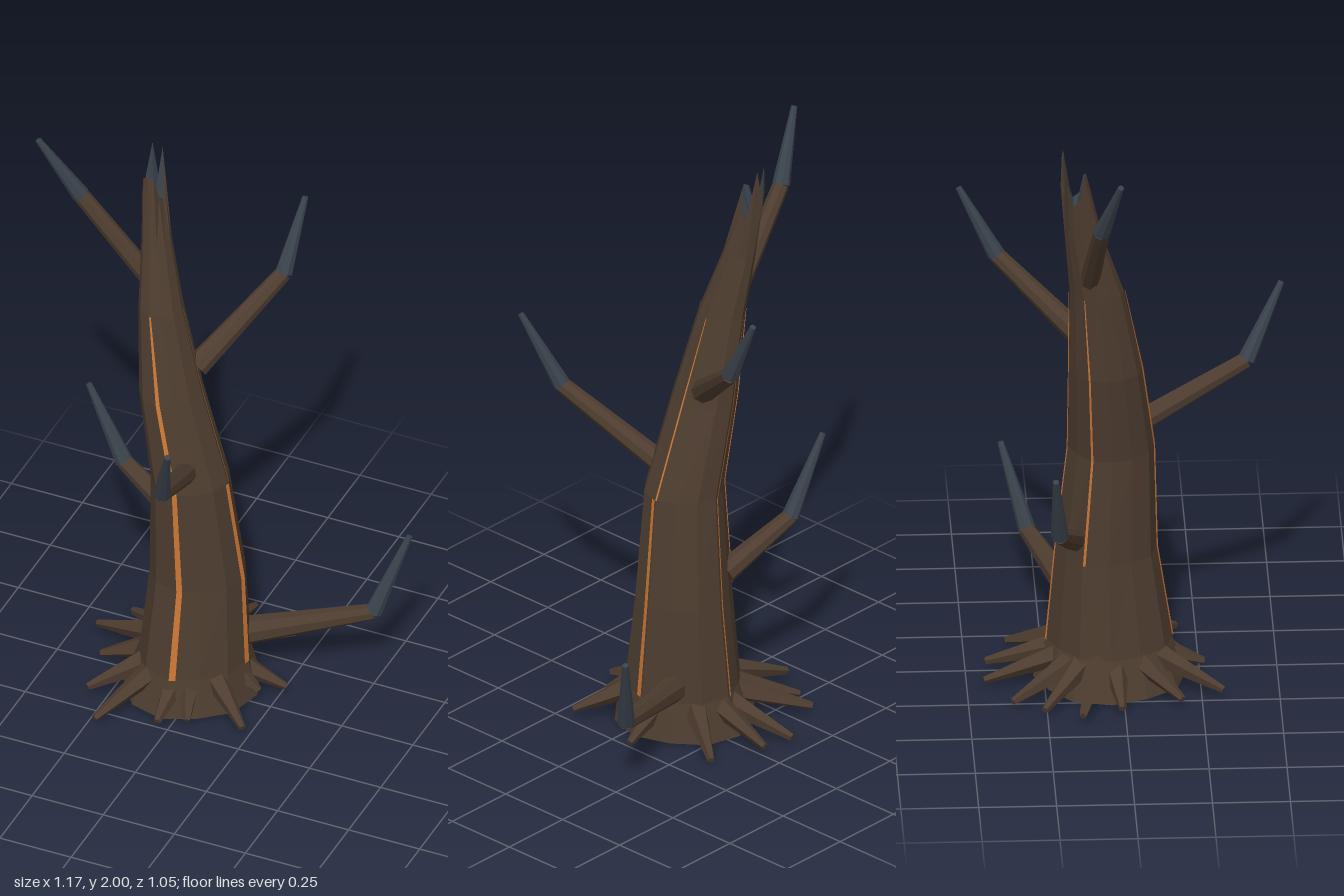
import * as THREE from 'three';

const SIDES = 12;
// trunk rings: y, centre x, centre z, half width x, half width z
const RINGS = [
  [0, -0.045, -0.04, 0.23, 0.245],
  [0.13, -0.035, -0.04, 0.188, 0.203],
  [0.45, -0.03, -0.05, 0.163, 0.163],
  [0.82, -0.05, -0.035, 0.133, 0.138],
  [1.13, -0.125, -0.055, 0.108, 0.117],
  [1.43, -0.175, -0.085, 0.073, 0.087],
  [1.65, -0.21, -0.13, 0.049, 0.06],
  [1.85, -0.237, -0.163, 0.036, 0.041],
];
// uneven bark ridges and the broken rim heights, one value per side
const RIDGE = [1, 0.93, 0.99, 1, 0.95, 1, 1, 0.93, 1, 0.99, 0.94, 1];
const RIM = [1.88, 1.87, 1.8, 1.78, 1.84, 1.96, 1.84, 1.97, 1.86, 1.78, 1.8, 1.87];

function trunkPoint(k, i, grow = 0) {
  const [y, cx, cz, rx, rz] = RINGS[k];
  const s = ((i % SIDES) + SIDES) % SIDES;
  const a = (s / SIDES) * Math.PI * 2;
  return new THREE.Vector3(
    cx + Math.sin(a) * (rx * RIDGE[s] + grow),
    k === RINGS.length - 1 ? RIM[s] : y,
    cz + Math.cos(a) * (rz * RIDGE[s] + grow));
}

function fromTriangles(points) {
  const g = new THREE.BufferGeometry().setFromPoints(points);
  g.computeVertexNormals();
  return g;
}

const quad = (a, b, c, d) => [a, b, c, a, c, d];

export function createModel() {
  const model = new THREE.Group();
  const paint = (name, color) => {
    const m = new THREE.MeshStandardMaterial({ color, flatShading: true });
    m.name = name;
    return m;
  };
  const bark = paint('bark brown', 0x4d3c2f);
  const slate = paint('charred slate', 0x39424b);
  const ember = paint('ember orange', 0xc87533);
  ember.side = THREE.DoubleSide;

  const add = (name, geometry, material, parent = model) => {
    const mesh = new THREE.Mesh(geometry, material);
    mesh.name = name;
    parent.add(mesh);
    return mesh;
  };

  // tapered limb between two points
  const limb = (name, from, to, r0, r1, sides, material, parent) => {
    const a = new THREE.Vector3(...from), b = new THREE.Vector3(...to);
    const dir = b.clone().sub(a);
    const mesh = add(name, new THREE.CylinderGeometry(r1, r0, dir.length(), sides), material, parent);
    mesh.position.copy(a).add(b).multiplyScalar(0.5);
    mesh.quaternion.setFromUnitVectors(new THREE.Vector3(0, 1, 0), dir.normalize());
  };

  // leaning trunk with a closed base, and the hollow inside its broken top
  const shell = [], hollow = [];
  const top = RINGS.length - 1;
  const baseCentre = new THREE.Vector3(-0.045, 0, -0.04);
  const hollowFloor = new THREE.Vector3(-0.235, 1.74, -0.16);
  for (let i = 0; i < SIDES; i++) {
    for (let k = 0; k < top; k++) {
      shell.push(...quad(trunkPoint(k, i), trunkPoint(k, i + 1), trunkPoint(k + 1, i + 1), trunkPoint(k + 1, i)));
    }
    shell.push(baseCentre, trunkPoint(0, i + 1), trunkPoint(0, i));
    hollow.push(trunkPoint(top, i), trunkPoint(top, i + 1), hollowFloor);
  }
  add('trunk', fromTriangles(shell), bark);
  add('brokenTopHollow', fromTriangles(hollow), slate);

  // glowing cracks lying on one trunk side: side, first ring, last ring, start and end across the side
  const cracks = [
    [0, 1, 5, 0.02, 0.24],
    [2, 1, 3, 0.78, 0.98],
    [3, 3, 5, 0.02, 0.1],
    [6, 1, 5, 0.05, 0.16],
    [8, 2, 5, 0.05, 0.15],
  ];
  for (const [side, first, last, t0, t1] of cracks) {
    const pts = [];
    const at = (k, t) => trunkPoint(k, side, 0.005).lerp(trunkPoint(k, side + 1, 0.005), t);
    const end = (k) => (k === 5 ? t0 + (t1 - t0) * 0.6 : t1);
    for (let k = first; k < last; k++) {
      pts.push(...quad(at(k, t0), at(k, end(k)), at(k + 1, end(k + 1)), at(k + 1, t0)));
    }
    add('glowingCrack', fromTriangles(pts), ember);
  }

  // bent branches: base, elbow, tip, base radius
  const branches = [
    [[0.06, 0.165, -0.11], [0.485, 0.262, -0.28], [0.575, 0.535, -0.362], 0.05],
    [[-0.03, 0.875, 0.03], [0.052, 1.065, 0.405], [0.122, 1.308, 0.52], 0.038],
    [[-0.06, 1.19, -0.11], [0.118, 1.425, -0.395], [0.14, 1.655, -0.515], 0.04],
    [[-0.22, 1.49, -0.11], [-0.455, 1.775, -0.082], [-0.578, 1.993, -0.025], 0.033],
    [[-0.12, 0.52, -0.15], [-0.36, 0.65, -0.212], [-0.493, 0.907, -0.23], 0.04],
  ];
  for (const [base, elbow, tip, r] of branches) {
    const branch = new THREE.Group();
    branch.name = 'branch';
    model.add(branch);
    limb('branchArm', base, elbow, r, 0.027, 8, bark, branch);
    limb('branchClaw', elbow, tip, 0.029, 0.01, 8, slate, branch);
  }

  // spiky roots around the foot: tip x, tip z
  const roots = [
    [-0.12, -0.445], [0, -0.435], [0.17, -0.36], [-0.305, -0.36], [-0.35, -0.26],
    [-0.42, -0.14], [-0.35, -0.01], [-0.31, 0.185], [-0.225, 0.32], [-0.03, 0.265],
    [0.05, 0.21], [0.235, 0.185], [0.265, -0.09], [0.2, -0.02],
  ];
  roots.forEach(([x, z], i) => {
    const d = new THREE.Vector2(x + 0.04, z + 0.04).normalize();
    limb('root', [-0.04 + d.x * 0.13, 0.1 + (i % 3) * 0.01, -0.04 + d.y * 0.13],
      [x, 0.025 + (i % 2) * 0.01, z], 0.045, 0.012, 5, bark);
  });

  return model;
}
